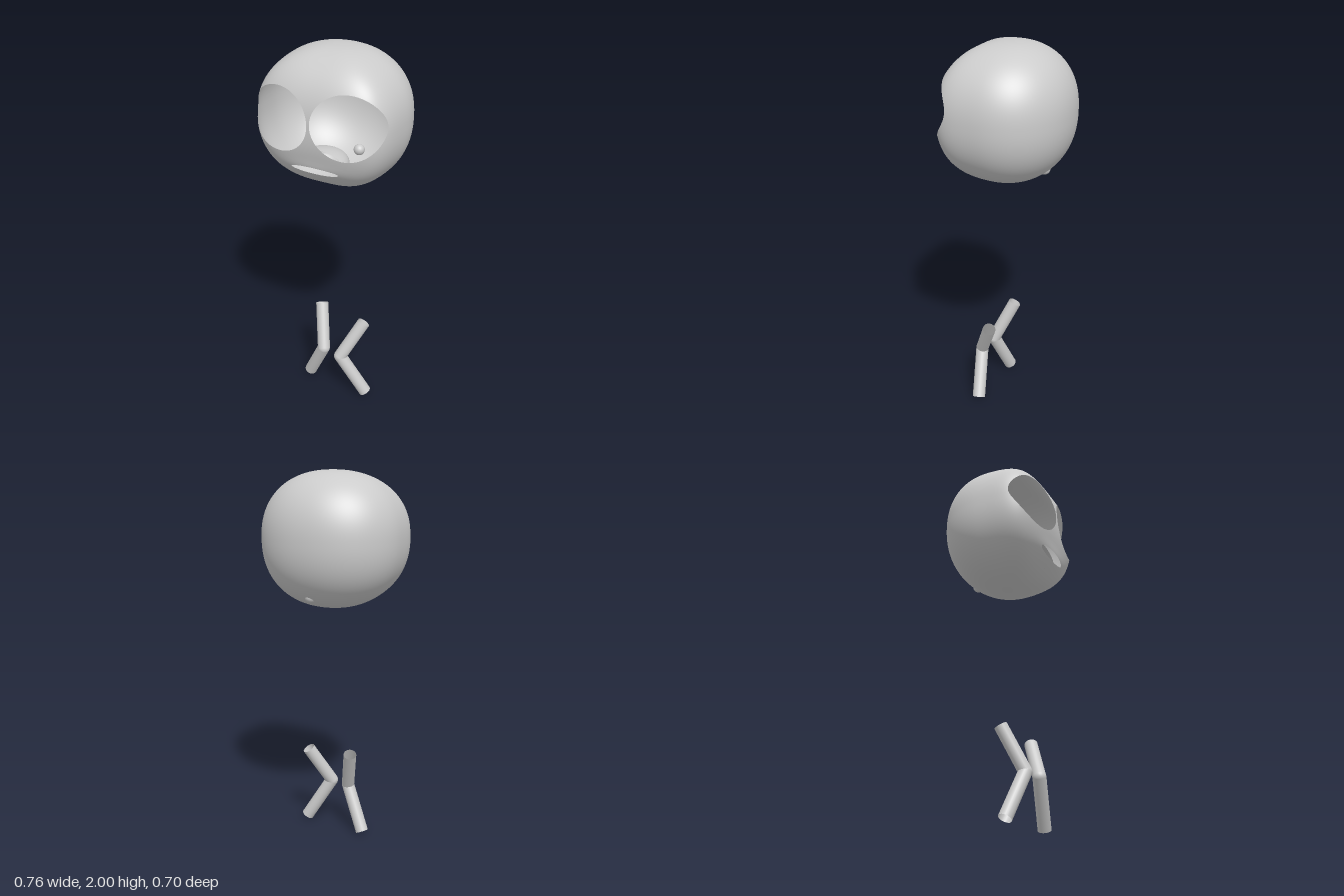
import * as THREE from 'three';
import { mergeVertices } from 'three/addons/utils/BufferGeometryUtils.js';

const material = new THREE.MeshStandardMaterial({ color: 0xcccccc, side: THREE.DoubleSide });

function addMesh(parent, name, geometry) {
  const mesh = new THREE.Mesh(geometry, material);
  mesh.name = name;
  parent.add(mesh);
  return mesh;
}

// Openings in the face: centre x, y and radii
const mouth = [0.01, -0.207, 0.128, 0.02];
const openings = [[0.178, 0.038, 0.171, 0.157], [-0.178, 0.03, 0.171, 0.157], mouth];
const ellipse = (p, [x, y, rx, ry]) => Math.hypot((p.x - x) / rx, (p.y - y) / ry);

// Rounded skull: round at the back, broader and flatter at the face
function skullPoint(dir) {
  const p = 2.1 + 1.3 * THREE.MathUtils.smoothstep(dir.z, -0.1, 0.6);
  const q = 2.25;
  const a = Math.abs(dir.x) / 0.372;
  const b = Math.abs(dir.y) / (dir.y > 0 ? 0.34 : 0.355);
  const c = Math.abs(dir.z) / (dir.z > 0 ? 0.308 : 0.332);
  const flat = Math.pow(Math.pow(a, p) + Math.pow(c, p), q / p);
  const point = dir.clone().divideScalar(Math.pow(flat + Math.pow(b, q), 1 / q));
  // Slight lip ridge
  if (point.z > 0) {
    const d = Math.hypot((point.x - mouth[0]) / 0.16, (point.y - mouth[1]) / 0.045);
    point.z += 0.01 * Math.exp(-d * d);
  }
  return point;
}

// Cut triangles cleanly along one opening
function cutOpening(triangles, opening) {
  const outside = (v) => (v.p.z < 0 ? 1 : ellipse(v.p, opening) - 1);
  const result = [];
  for (const tri of triangles) {
    const d = tri.map(outside);
    if (d.every((value) => value >= 0)) { result.push(tri); continue; }
    const polygon = [];
    for (let i = 0; i < 3; i++) {
      const j = (i + 1) % 3;
      if (d[i] >= 0) polygon.push(tri[i]);
      if (d[i] >= 0 !== d[j] >= 0) {
        const t = d[i] / (d[i] - d[j]);
        polygon.push({ p: tri[i].p.clone().lerp(tri[j].p, t), n: tri[i].n.clone().lerp(tri[j].n, t).normalize() });
      }
    }
    for (let i = 2; i < polygon.length; i++) result.push([polygon[0], polygon[i - 1], polygon[i]]);
  }
  return result;
}

function skullGeometry() {
  let ball = new THREE.IcosahedronGeometry(1, 44);
  ball.deleteAttribute('uv');
  ball.deleteAttribute('normal');
  ball = mergeVertices(ball, 1e-5);
  const pos = ball.attributes.position;
  const v = new THREE.Vector3();
  for (let i = 0; i < pos.count; i++) {
    const p = skullPoint(v.fromBufferAttribute(pos, i).normalize());
    pos.setXYZ(i, p.x, p.y, p.z);
  }
  ball.computeVertexNormals();

  const vertex = (i) => ({
    p: new THREE.Vector3().fromBufferAttribute(pos, i),
    n: new THREE.Vector3().fromBufferAttribute(ball.attributes.normal, i),
  });
  let triangles = [];
  for (let i = 0; i < ball.index.count; i += 3) {
    triangles.push([0, 1, 2].map((k) => vertex(ball.index.getX(i + k))));
  }
  for (const opening of openings) triangles = cutOpening(triangles, opening);

  const corners = triangles.flat();
  const geometry = new THREE.BufferGeometry();
  geometry.setAttribute('position', new THREE.Float32BufferAttribute(corners.flatMap((c) => c.p.toArray()), 3));
  geometry.setAttribute('normal', new THREE.Float32BufferAttribute(corners.flatMap((c) => c.n.toArray()), 3));
  return geometry;
}

// Open tube between two points
function addTube(parent, name, from, to, radius) {
  const axis = to.clone().sub(from);
  const tube = addMesh(parent, name, new THREE.CylinderGeometry(radius, radius, axis.length(), 24, 1, true));
  tube.position.copy(from).addScaledVector(axis, 0.5);
  tube.quaternion.setFromUnitVectors(new THREE.Vector3(0, 1, 0), axis.normalize());
}

// Bent limb made of two tubes and a round joint
function addLimb(parent, name, points) {
  const limb = new THREE.Group();
  limb.name = name;
  const [top, joint, bottom] = points.map((p) => new THREE.Vector3(...p));
  const radius = 0.035;
  addTube(limb, 'upperLimb', joint, top, radius);
  addTube(limb, 'lowerLimb', bottom, joint, radius);
  addMesh(limb, 'joint', new THREE.SphereGeometry(radius, 24, 16)).position.copy(joint);
  parent.add(limb);
}

export function createModel() {
  const model = new THREE.Group();

  // Head, turned towards its right
  const head = new THREE.Group();
  head.name = 'head';
  head.position.set(0.018, 1.66, 0.006);
  head.rotation.y = -0.44;
  model.add(head);
  addMesh(head, 'skull', skullGeometry());

  // Mouth cavity, open towards the lips
  const cavity = new THREE.SphereGeometry(1, 32, 16, 0, Math.PI * 2, 0, Math.PI / 2);
  cavity.rotateX(-Math.PI / 2);
  cavity.scale(0.14, 0.075, 0.17);
  addMesh(head, 'mouthCavity', cavity).position.set(0.01, -0.195, 0.22);

  // Small neck stub low on the back
  const stub = addMesh(head, 'neckStub', new THREE.SphereGeometry(0.03, 20, 12));
  stub.position.copy(skullPoint(new THREE.Vector3(0.02, -0.28, -0.2).normalize())).multiplyScalar(0.95);

  // Limbs: top, joint and bottom points
  addLimb(model, 'rightLeg', [[-0.075, 0.487, -0.025], [-0.06, 0.258, 0.095], [-0.144, 0.016, 0]]);
  addLimb(model, 'leftLeg', [[0.165, 0.462, 0.122], [0.036, 0.255, 0.163], [0.18, 0.02, 0.185]]);

  return model;
}
